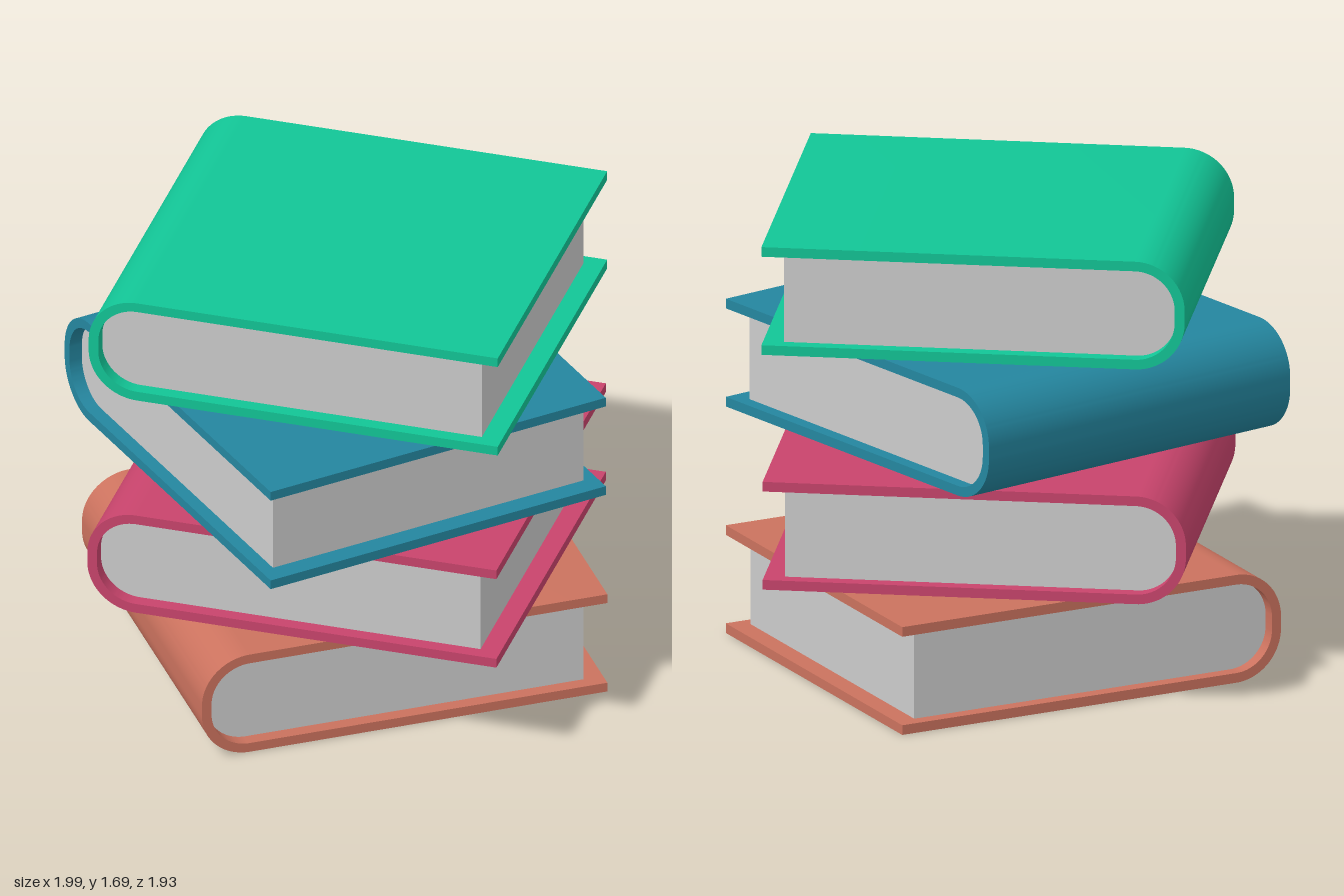
import * as THREE from 'three';
import { toCreasedNormals } from 'three/addons/utils/BufferGeometryUtils.js';

const W = 1.523, D = 1.365, H = 0.403;   // book width, spine length, thickness
const T = 0.036, R = 0.18;               // cover thickness, spine corner radius
const SEGMENTS = 14;

// Traces the rounded spine from the top fore-edge round to the bottom one, inset by i.
function traceSpine(shape, i, xEnd, start) {
  const x0 = -W / 2 + i, h = H / 2 - i, r = R - i;
  shape[start](xEnd, h);
  shape.lineTo(x0 + r, h);
  shape.absarc(x0 + r, h - r, r, Math.PI / 2, Math.PI, false);
  shape.lineTo(x0, -h + r);
  shape.absarc(x0 + r, -h + r, r, Math.PI, Math.PI * 1.5, false);
  shape.lineTo(xEnd, -h);
}

function extrude(shape, depth) {
  const geo = new THREE.ExtrudeGeometry(shape, { depth, bevelEnabled: false, curveSegments: SEGMENTS });
  geo.translate(0, 0, -depth / 2);
  return toCreasedNormals(geo, 0.5);
}

// U-shaped cover wrapping round the spine
function coverGeometry() {
  const outer = new THREE.Shape(), inner = new THREE.Shape();
  traceSpine(outer, 0, W / 2, 'moveTo');
  traceSpine(inner, T, W / 2, 'moveTo');
  const points = [...outer.getPoints(SEGMENTS), ...inner.getPoints(SEGMENTS).reverse()];
  return extrude(new THREE.Shape(points), D);
}

// Page block, set back from the open cover edges
function pagesGeometry() {
  const shape = new THREE.Shape();
  traceSpine(shape, T, W / 2 - 0.074, 'moveTo');
  shape.closePath();
  return extrude(shape, D - 0.1);
}

function material(name, color) {
  const m = new THREE.MeshStandardMaterial({ color });
  m.name = name;
  return m;
}

export function createModel() {
  const model = new THREE.Group();
  model.name = 'bookStack';
  const coverGeo = coverGeometry(), pagesGeo = pagesGeometry();
  const paper = material('paper grey', 0xcccccc);

  // name, colour, centre x, base y, centre z, turn
  const books = [
    ['terracotta', 0xcb725e, 0, 0, -0.062, 0.112],
    ['pink', 0xc8446c, -0.005, 0.407, -0.005, -0.497],
    ['blue', 0x24869f, -0.055, 0.836, 0.035, -1.274],
    ['green', 0x12c596, 0, 1.286, -0.006, -0.497],
  ];
  for (const [name, color, x, y, z, turn] of books) {
    const book = new THREE.Group();
    book.name = name + 'Book';
    const cover = new THREE.Mesh(coverGeo, material(name, color));
    cover.name = name + 'Cover';
    const pages = new THREE.Mesh(pagesGeo, paper);
    pages.name = name + 'Pages';
    book.add(cover, pages);
    book.position.set(x, y + H / 2, z);
    book.rotation.y = turn;
    model.add(book);
  }
  return model;
}
